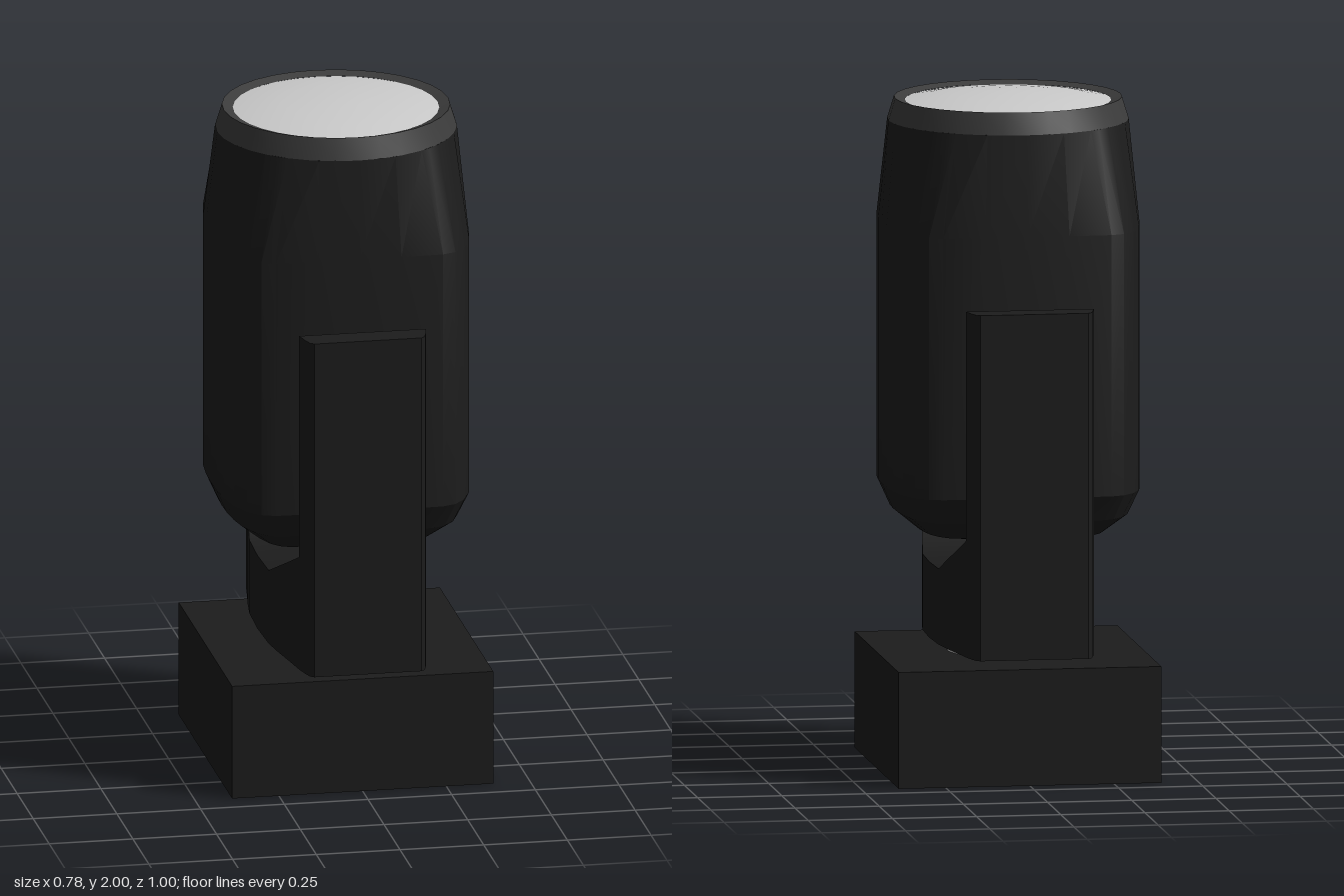
import * as THREE from 'three';
import { toCreasedNormals } from 'three/addons/utils/BufferGeometryUtils.js';

const black = new THREE.MeshStandardMaterial({ color: 0x1c1c1c });
const darkGrey = new THREE.MeshStandardMaterial({ color: 0x3c3c3c });
const grey = new THREE.MeshStandardMaterial({ color: 0xcccccc });

function part(name, geometry, material, x = 0, y = 0, z = 0) {
  const mesh = new THREE.Mesh(geometry, material);
  mesh.name = name;
  mesh.position.set(x, y, z);
  return mesh;
}

// Skins a series of closed rings of [x, y, z] points and caps both ends.
function loft(rings, crease) {
  const n = rings[0].length;
  const points = rings.flat();
  const index = [];
  for (let s = 0; s < rings.length - 1; s++) {
    for (let i = 0; i < n; i++) {
      const a = s * n + i, b = s * n + (i + 1) % n;
      index.push(a, a + n, b, b, a + n, b + n);
    }
  }
  [rings[0], rings[rings.length - 1]].forEach((ring, end) => {
    const centre = [0, 1, 2].map(k => ring.reduce((sum, p) => sum + p[k], 0) / n);
    const c = points.push(centre) - 1;
    const base = end ? (rings.length - 1) * n : 0;
    for (let i = 0; i < n; i++) {
      const a = base + i, b = base + (i + 1) % n;
      index.push(c, end ? b : a, end ? a : b);
    }
  });
  const geometry = new THREE.BufferGeometry();
  geometry.setAttribute('position', new THREE.Float32BufferAttribute(points.flat(), 3));
  geometry.setIndex(index);
  return toCreasedNormals(geometry, crease);
}

// U-shaped yoke: upright sections along z as [z, half width, top height]
function yokeGeometry() {
  const half = [
    [0.5, 0.16, 1.41], [0.49, 0.171, 1.41], [0.465, 0.179, 1.41], [0.415, 0.19, 1.41],
    [0.415, 0.19, 0.73], [0.33, 0.203, 0.691], [0.24, 0.218, 0.65], [0.15, 0.23, 0.61],
  ];
  const stations = [
    ...half.map(([z, w, top]) => [-z, w, top]),
    [0, 0.235, 0.61],
    ...half.slice().reverse(),
  ];
  const bottom = 0.385;
  return loft(stations.map(([z, w, top]) =>
    [[w, top, z], [w, bottom, z], [-w, bottom, z], [-w, top, z]]), 0.5);
}

// Lamp housing: flat-sided outline that blends to a circle at the top
function housingGeometry() {
  const quarter = [
    [0.375, 0], [0.373, 0.08], [0.366, 0.16], [0.352, 0.24], [0.325, 0.308],
    [0.29, 0.35], [0.25, 0.366], [0.125, 0.37], [0, 0.37],
  ];
  const outline = [
    ...quarter.slice(0, 8),
    ...quarter.slice(1).reverse().map(([x, z]) => [-x, z]),
    ...quarter.slice(0, 8).map(([x, z]) => [-x, -z]),
    ...quarter.slice(1).reverse().map(([x, z]) => [x, -z]),
  ];
  // [height, outline scale, blend to circle]
  const levels = [
    [0.685, 0.05, 0], [0.692, 0.35, 0], [0.715, 0.73, 0], [0.77, 0.91, 0], [0.845, 1, 0],
    [1.62, 1, 0], [1.92, 1, 1],
  ];
  return loft(levels.map(([y, scale, blend]) => outline.map(([x, z]) => {
    const k = 0.355 / Math.hypot(x, z);
    const f = scale * (1 - blend + blend * k);
    return [x * f, y, z * f];
  })), 0.4);
}

function lathe(profile, crease) {
  const points = profile.map(([r, y]) => new THREE.Vector2(r, y));
  return toCreasedNormals(new THREE.LatheGeometry(points, 32), crease);
}

export function createModel() {
  const model = new THREE.Group();
  model.name = 'movingHeadLight';

  // Base and turning neck
  model.add(part('base', new THREE.BoxGeometry(0.78, 0.345, 0.834), black, 0, 0.1725, 0));
  model.add(part('panNeck', new THREE.CylinderGeometry(0.18, 0.18, 0.06, 32), grey, 0, 0.365, 0));
  model.add(part('yoke', yokeGeometry(), black));

  // Tilt pivots between yoke arms and head
  for (const side of [1, -1]) {
    const pivot = part('tiltPivot', new THREE.CylinderGeometry(0.083, 0.083, 0.07, 24), grey, 0, 1.205, side * 0.385);
    pivot.rotation.x = Math.PI / 2;
    model.add(pivot);
  }

  // Head
  const head = new THREE.Group();
  head.name = 'head';
  head.add(part('housing', housingGeometry(), black));
  head.add(part('lensRim', lathe([[0.355, 1.92], [0.335, 1.985], [0.303, 1.975]], 0.5), darkGrey));
  head.add(part('lens', lathe([[0.305, 1.974], [0.24, 1.985], [0.16, 1.993], [0.08, 1.998], [0, 2]], 0.8), grey));
  model.add(head);

  return model;
}
